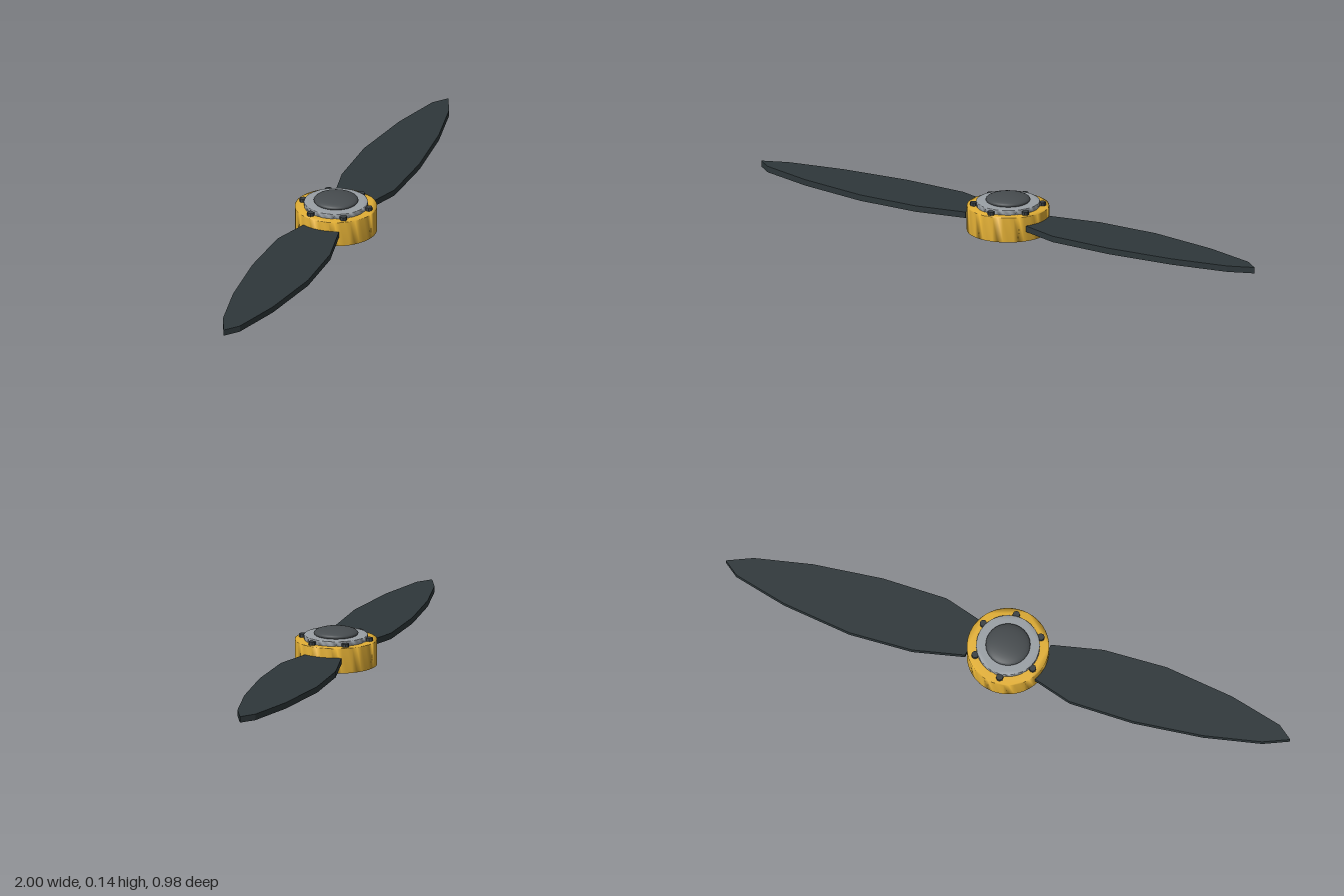
import * as THREE from 'three';
import { mergeVertices } from 'three/addons/utils/BufferGeometryUtils.js';

const paint = (color, flatShading = false) => new THREE.MeshStandardMaterial({ color, flatShading });
const yellow = paint(0xe3b036);
const steel = paint(0x9aa0a5);
const rubber = paint(0x474c4f);
const carbon = paint(0x2e373a, true);
const boltMat = paint(0x3a4043, true);

function part(name, geometry, material) {
  const mesh = new THREE.Mesh(geometry, material);
  mesh.name = name;
  return mesh;
}

// Upright slab from an outline drawn in plan (shape y points to -z)
function slab(shape, y0, y1) {
  const g = new THREE.ExtrudeGeometry(shape, { depth: y1 - y0, bevelEnabled: false, curveSegments: 24 });
  return g.rotateX(-Math.PI / 2).translate(0, y0, 0);
}

// Disc whose normals blend softly over the rims
function softDisc(radius, y0, y1) {
  const g = slab(new THREE.Shape().absarc(0, 0, radius, 0, Math.PI * 2), y0, y1);
  g.deleteAttribute('uv');
  g.deleteAttribute('normal');
  const soft = mergeVertices(g, 1e-4);
  soft.computeVertexNormals();
  return soft;
}

export function createModel() {
  const model = new THREE.Group();
  model.name = 'propeller';

  // Hub, clamp plate and cap
  model.add(part('hub', softDisc(0.153, 0, 0.095), yellow));
  model.add(part('clampPlate', softDisc(0.118, 0.095, 0.113), steel));
  const cap = new THREE.SphereGeometry(0.083, 32, 16).scale(1, 0.02 / 0.083, 1).translate(0, 0.119, 0);
  model.add(part('cap', cap, rubber));

  // Ring of six bolts
  for (let i = 0; i < 6; i++) {
    const a = (i * Math.PI) / 3;
    const bolt = part('bolt', new THREE.CylinderGeometry(0.0135, 0.0135, 0.015, 8), boltMat);
    bolt.position.set(0.127 * Math.cos(a), 0.1005, 0.127 * Math.sin(a));
    model.add(bolt);
  }

  // Two swept blades, half a turn apart
  const outline = [
    [0.1, 0.125], [0.15, -0.013], [0.305, 0.012], [0.53, 0.12], [0.755, 0.26], [0.93, 0.395],
    [0.998, 0.474], [0.93, 0.488], [0.725, 0.446], [0.47, 0.36], [0.255, 0.247],
  ].map(([x, y]) => new THREE.Vector2(x, y));
  const bladeGeometry = slab(new THREE.Shape(outline), 0.037, 0.06);
  ['rightBlade', 'leftBlade'].forEach((name, i) => {
    const blade = part(name, bladeGeometry, carbon);
    blade.rotation.y = i ? 0 : Math.PI;
    model.add(blade);
  });

  return model;
}
